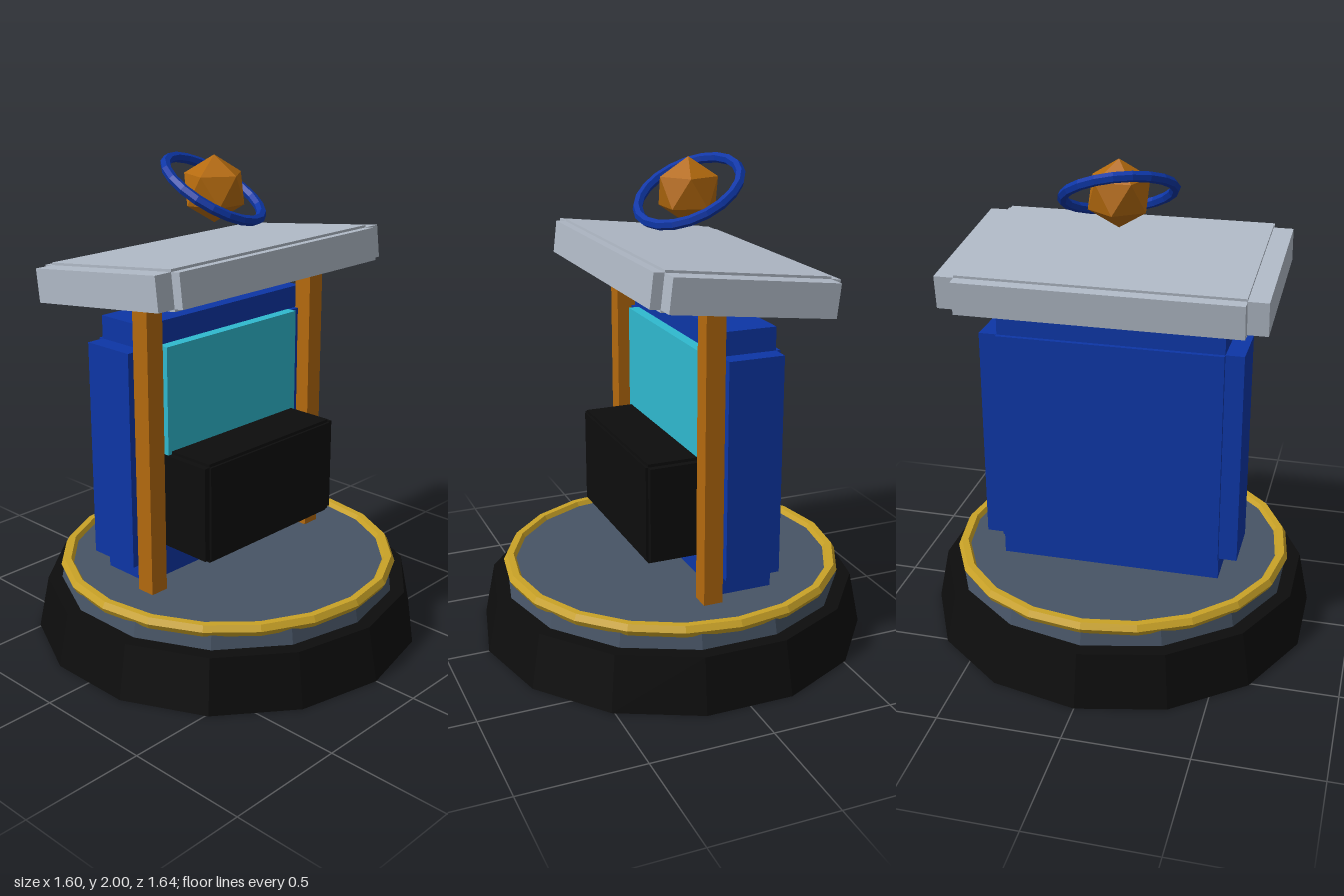
import * as THREE from 'three';

const material = (name, color) => {
  const m = new THREE.MeshStandardMaterial({ color, flatShading: true });
  m.name = name;
  return m;
};

export function createModel() {
  const black = material('black', 0x0d0d0d);
  const slate = material('slate', 0x475465);
  const gold = material('gold', 0xc9a227);
  const blue = material('blue', 0x0d36a6);
  const cyan = material('cyan', 0x2fb9cf);
  const bronze = material('bronze', 0xb46a0e);
  const silver = material('silver', 0xb0b9c6);

  const model = new THREE.Group();
  model.name = 'kiosk';

  const add = (name, geometry, mat, x, y, z, parent = model) => {
    const mesh = new THREE.Mesh(geometry, mat);
    mesh.name = name;
    mesh.position.set(x, y, z);
    parent.add(mesh);
    return mesh;
  };

  // Block with stepped edges: three crossing boxes, each full size along two or one axes
  const steppedBlock = (name, mat, full, inner, x, y, z) => {
    const group = new THREE.Group();
    group.name = name;
    group.position.set(x, y, z);
    for (let axis = 0; axis < 3; axis++) {
      const size = inner.map((s, i) => (i === axis ? full[i] : s));
      add(name + ['Width', 'Height', 'Depth'][axis], new THREE.BoxGeometry(...size), mat, 0, 0, 0, group);
    }
    model.add(group);
    return group;
  };

  // Round plinth, floor and trim ring
  add('plinth', new THREE.CylinderGeometry(0.775, 0.82, 0.225, 14), black, 0, 0.1125, 0);
  add('floor', new THREE.CylinderGeometry(0.7, 0.72, 0.1, 14), slate, 0, 0.255, 0);
  const trim = add('trimRing', new THREE.TorusGeometry(0.69, 0.028, 6, 20), gold, 0, 0.3, 0);
  trim.rotation.x = Math.PI / 2;

  // Cabinet, screen and counter
  steppedBlock('cabinet', blue, [1.07, 1.09, 0.27], [0.92, 0.9, 0.232], 0, 0.857, -0.13);
  add('screen', new THREE.BoxGeometry(0.76, 0.61, 0.045), cyan, 0, 1.005, 0.015);
  steppedBlock('counter', black, [0.77, 0.42, 0.27], [0.72, 0.395, 0.25], 0, 0.665, 0.12);

  // Front posts
  for (const side of [-1, 1]) {
    add(side > 0 ? 'leftPost' : 'rightPost', new THREE.BoxGeometry(0.08, 1.2, 0.08), bronze, side * 0.472, 0.9, 0.03);
  }

  // Tilted roof
  const roof = steppedBlock('roof', silver, [1.28, 0.155, 0.765], [1.12, 0.135, 0.68], 0, 1.566, -0.073);
  roof.rotation.x = -0.12;

  // Floating gem, standing on one corner
  const gemShape = new THREE.IcosahedronGeometry(0.135, 0);
  gemShape.rotateX(-Math.atan((1 + Math.sqrt(5)) / 2));
  add('gem', gemShape, bronze, 0, 1.865, -0.075);

  // Tilted ring around the gem
  const orbit = add('orbitRing', new THREE.TorusGeometry(0.218, 0.021, 6, 20), blue, 0, 1.865, -0.077);
  orbit.quaternion.setFromUnitVectors(
    new THREE.Vector3(0, 0, 1),
    new THREE.Vector3(0.24, 1, 0.55).normalize()
  );

  return model;
}
